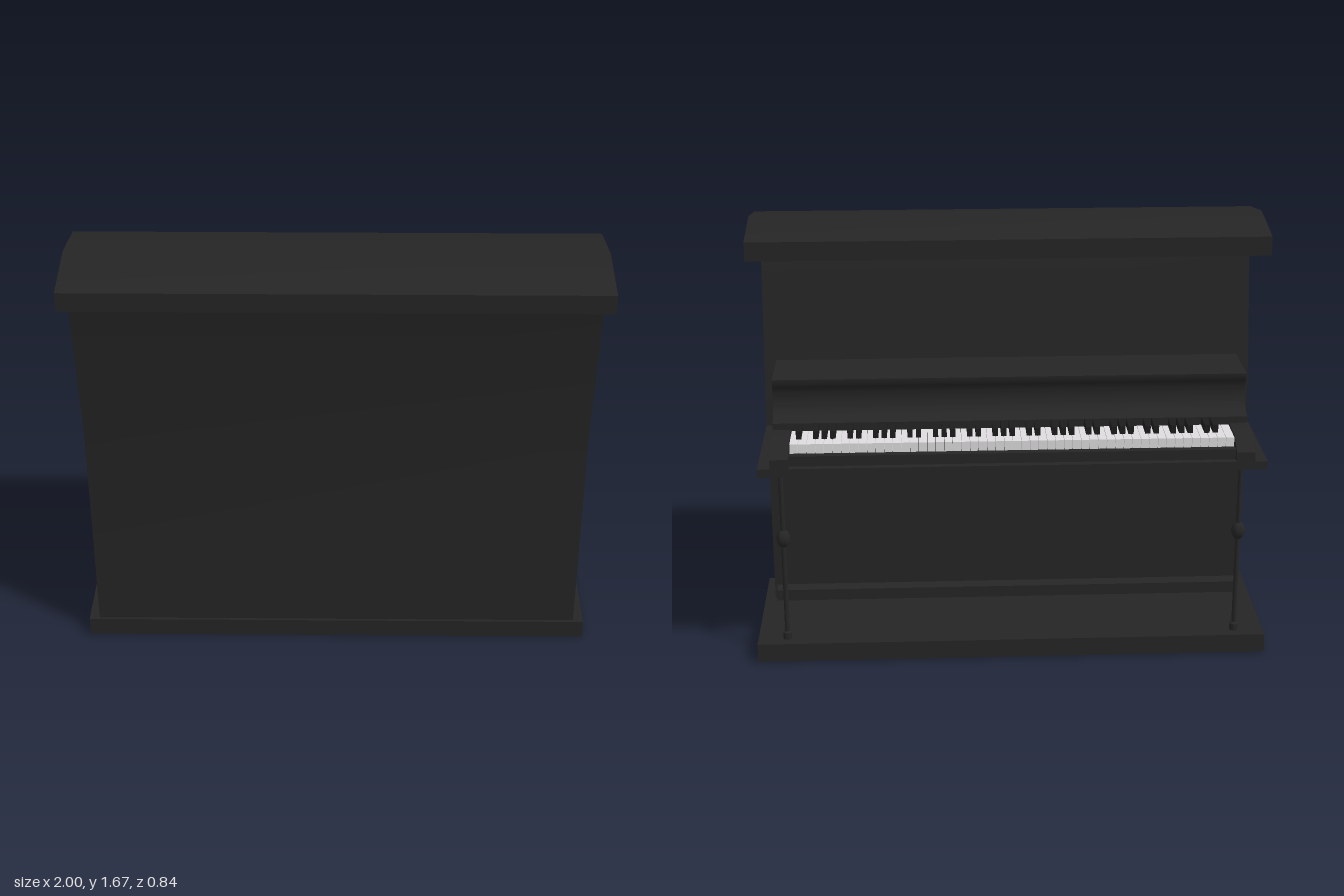
import * as THREE from 'three';
import { toCreasedNormals } from 'three/addons/utils/BufferGeometryUtils.js';

export function createModel() {
  const group = new THREE.Group();
  const material = (name, color) => {
    const m = new THREE.MeshStandardMaterial({ color });
    m.name = name;
    return m;
  };
  const ebony = material('ebony black', 0x252525);
  const ivory = material('ivory white', 0xdedcde);
  const keyBlack = material('key black', 0x1c1c1c);

  const add = (name, geometry, mat = ebony, parent = group) => {
    const mesh = new THREE.Mesh(geometry, mat);
    mesh.name = name;
    parent.add(mesh);
    return mesh;
  };
  // Box given by its limits on each axis
  const box = (name, x0, x1, y0, y1, z0, z1, mat, parent) =>
    add(name, new THREE.BoxGeometry(x1 - x0, y1 - y0, z1 - z0), mat, parent)
      .position.set((x0 + x1) / 2, (y0 + y1) / 2, (z0 + z1) / 2);
  // Side profile of [z, y] points, extruded across x
  const profile = (name, points, x0, x1) => {
    const shape = new THREE.Shape(points.map(([z, y]) => new THREE.Vector2(z, y)));
    const width = x1 - x0;
    const geo = new THREE.ExtrudeGeometry(shape, { depth: width, bevelEnabled: false });
    geo.translate(0, 0, -width / 2).rotateY(-Math.PI / 2).translate((x0 + x1) / 2, 0, 0);
    add(name, toCreasedNormals(geo, 0.6));
  };

  // Plinth, cabinet and pitched lid
  box('base', -1, 1, 0, 0.075, -0.33, 0.29);
  profile('cabinet', [
    [0.279, 0.075], [0.279, 0.95], [0.39, 1.556], [0.177, 1.556],
    [0.093, 1.108], [0.066, 0.845], [0.066, 0.785], [0.093, 0.77], [0.093, 0.075],
  ], -0.96, 0.96);
  profile('lid', [
    [0.42, 1.556], [0.42, 1.63], [0.168, 1.672], [-0.084, 1.63], [-0.084, 1.556],
  ], -1, 1);
  profile('lowerMoulding', [
    [0.1, 0.075], [0.1, 0.138], [0.085, 0.135], [0.066, 0.122], [0.066, 0.075],
  ], -0.95, 0.95);

  // Key bed
  box('keyBed', -0.96, 0.96, 0.812, 0.845, -0.417, 0.068);

  // Fallboard with a scooped front
  const scoop = new THREE.CatmullRomCurve3([
    [-0.155, 1.085], [-0.143, 1.065], [-0.138, 1.03], [-0.148, 0.99],
    [-0.172, 0.965], [-0.215, 0.953],
  ].map(([z, y]) => new THREE.Vector3(z, y, 0))).getPoints(24).map(p => [p.x, p.y]);
  profile('fallboard', [
    [0.12, 0.845], [0.12, 1.108], [-0.155, 1.108], ...scoop, [-0.215, 0.845],
  ], -0.912, 0.912);

  // Cheek blocks at the ends of the keyboard, and the rail in front of it
  for (const s of [-1, 1]) {
    const a = s * 0.842, b = s * 0.912;
    profile('cheek', [
      [-0.2, 0.845], [-0.2, 0.928], [-0.34, 0.925], [-0.36, 0.918],
      [-0.417, 0.882], [-0.417, 0.845],
    ], Math.min(a, b), Math.max(a, b));
  }
  box('keySlip', -0.842, 0.842, 0.845, 0.885, -0.39, -0.2);

  // Keyboard: 52 white keys, black keys on five of every seven joints
  const keyboard = new THREE.Group();
  keyboard.name = 'keyboard';
  group.add(keyboard);
  const step = 1.68 / 52;
  for (let i = 0; i < 52; i++) {
    const x = -0.84 + i * step;
    box('whiteKey', x + 0.0008, x + step - 0.0008, 0.885, 0.922, -0.36, -0.21, ivory, keyboard);
    if (i > 1 && [0, 2, 3, 5, 6].includes(i % 7)) {
      box('blackKey', x - 0.01, x + 0.01, 0.92, 0.953, -0.305, -0.21, keyBlack, keyboard);
    }
  }

  // Turned legs with a bulb at mid height and collars at both ends
  const bulb = [];
  for (let i = 0; i <= 10; i++) {
    const t = (i / 10 - 0.5) * Math.PI;
    bulb.push(new THREE.Vector2(Math.max(0.0095, 0.027 * Math.cos(t)), 0.503 + 0.036 * Math.sin(t)));
  }
  const pt = (r, y) => new THREE.Vector2(r, y);
  const legProfile = [
    pt(0.017, 0.07), pt(0.017, 0.102), pt(0.0095, 0.108), ...bulb,
    pt(0.0095, 0.79), pt(0.018, 0.795), pt(0.018, 0.815),
  ];
  for (const s of [-1, 1]) {
    const geo = toCreasedNormals(new THREE.LatheGeometry(legProfile, 20), 0.6);
    add('frontLeg', geo).position.set(s * 0.885, 0, -0.275);
  }
  return group;
}
